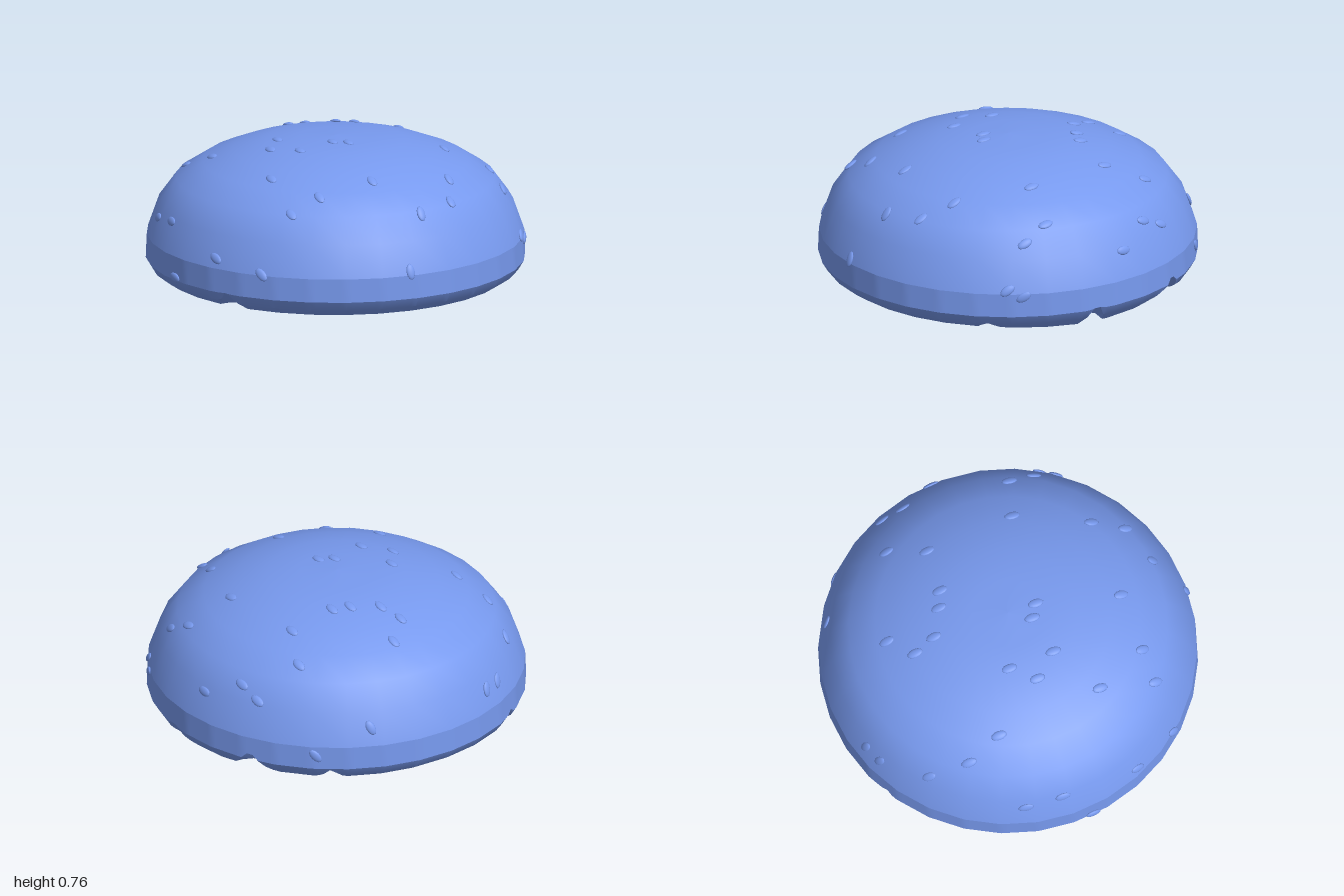
import * as THREE from 'three';
import { toCreasedNormals } from 'three/addons/utils/BufferGeometryUtils.js';

const SIDES = 32;
// Outer profile [radius, height], from the lower rim to the crown
const PROFILE = [
  [0.91, 0.015], [0.97, 0.055], [1, 0.105], [0.995, 0.23], [0.935, 0.4], [0.84, 0.53],
  [0.7, 0.62], [0.54, 0.684], [0.365, 0.732], [0.19, 0.748], [0, 0.755],
];
const toPoints = (list) => list.map(([r, y]) => new THREE.Vector2(r, y));

// Profile point and outward slope at a value of radius (axis 0, dome only) or height (axis 1)
function profileAt(value, axis) {
  let i = axis === 0 ? 2 : 0;
  while (i < PROFILE.length - 2 &&
    (axis === 0 ? PROFILE[i + 1][0] > value : PROFILE[i + 1][1] < value)) i++;
  const a = PROFILE[i], b = PROFILE[i + 1];
  const t = THREE.MathUtils.clamp((value - a[axis]) / (b[axis] - a[axis]), 0, 1);
  return {
    r: a[0] + (b[0] - a[0]) * t, y: a[1] + (b[1] - a[1]) * t,
    nr: b[1] - a[1], ny: a[0] - b[0],
  };
}

// Torn notches in the lower rim: x, z, height, half-angle
const NOTCHES = [
  [0.87, -0.41, 0.15, 0.15], [0.6, -0.74, 0.1, 0.1], [0.96, 0.11, 0.14, 0.08],
  [-0.47, -0.83, 0.14, 0.11], [-0.65, -0.67, 0.06, 0.06], [0.7, 0.62, 0.06, 0.08],
  [-0.84, 0.46, 0.12, 0.1],
];
const angleGap = (a, b) => Math.abs(Math.atan2(Math.sin(a - b), Math.cos(a - b)));

// Flat base and lower wall, cut by the notches
function undersideGeometry() {
  const rows = [[0, 0.015], [0.82, 0.015], ...PROFILE.slice(0, 4)];
  const geo = new THREE.LatheGeometry(toPoints(rows), SIDES * 6);
  const pos = geo.attributes.position;
  const step = (Math.PI * 2) / SIDES;
  for (let k = 0; k < pos.count; k++) {
    const row = k % rows.length;
    const phi = (Math.floor(k / rows.length) / (SIDES * 6)) * Math.PI * 2;
    let [r, y] = rows[row];
    if (row >= 2 && row <= 4) {
      let cut = 0;
      for (const [x, z, h, w] of NOTCHES) {
        cut = Math.max(cut, h * (1 - angleGap(phi, Math.atan2(x, z)) / w));
      }
      if (cut > y) {
        y = cut;
        r = profileAt(y, 1).r;
      } else if (row === 2) {
        // slight sag on one side of the base
        y -= 0.015 * Math.max(0, 1 - angleGap(phi, 1.45) / 0.6);
      }
    }
    // keep the outline on the same polygon as the dome
    r *= Math.cos(step / 2) / Math.cos((phi % step) - step / 2);
    pos.setXYZ(k, r * Math.sin(phi), y, r * Math.cos(phi));
  }
  return toCreasedNormals(geo, 0.45);
}

// Seeds on the dome, as x, z
const SEEDS = [
  [0.11, -0.64], [-0.02, -0.53], [0.02, -0.41], [0.16, -0.33], [0.25, -0.29], [0.5, -0.27],
  [0.6, -0.46], [0.83, -0.4], [0.84, -0.28], [0.43, -0.86], [-0.3, -0.91], [-0.4, -0.87],
  [-0.61, -0.67], [-0.65, -0.46], [-0.59, -0.27], [-0.92, -0.24], [-0.94, 0.04 * -1],
  [-0.29, -0.1], [-0.39, 0.02], [-0.28, 0.15], [-0.07, 0.11], [0, 0.155], [0.53, 0.22],
  [0.76, 0.29], [0.77, 0.43], [0.3, 0.77], [0.09, 0.845], [0.37, 0.605], [-0.08, 0.605],
  [-0.39, 0.61], [-0.56, 0.62], [-0.53, 0.32], [0.94, -0.085],
];
// Seeds on the steep flank, as x, z, height
const FLANK_SEEDS = [
  [-0.99, 0.11, 0.12], [-0.9, 0.4, 0.28], [-0.75, 0.65, 0.235], [-0.04, 0.99, 0.25],
  [0.69, -0.72, 0.18], [0.81, 0.57, 0.25], [0.86, 0.5, 0.215],
];

export function createModel() {
  const group = new THREE.Group();
  group.name = 'bun';
  const material = new THREE.MeshStandardMaterial({ color: 0x7799ee });
  const add = (name, geo) => {
    const mesh = new THREE.Mesh(geo, material);
    mesh.name = name;
    group.add(mesh);
    return mesh;
  };

  add('dome', new THREE.LatheGeometry(toPoints(PROFILE.slice(3)), SIDES));
  add('underside', undersideGeometry());

  // Flattened seeds lying on the crust
  const seedGeo = new THREE.SphereGeometry(1, 12, 8).scale(0.024, 0.011, 0.043);
  const up = new THREE.Vector3(0, 1, 0);
  for (const [x, z, height] of [...SEEDS, ...FLANK_SEEDS]) {
    const p = height === undefined ? profileAt(Math.hypot(x, z), 0) : profileAt(height, 1);
    const phi = Math.atan2(x, z);
    const s = Math.sin(phi), c = Math.cos(phi);
    const seed = add('seed', seedGeo);
    seed.position.set(p.r * s, p.y, p.r * c);
    seed.quaternion.setFromUnitVectors(up, new THREE.Vector3(p.nr * s, p.ny, p.nr * c).normalize());
  }
  return group;
}
